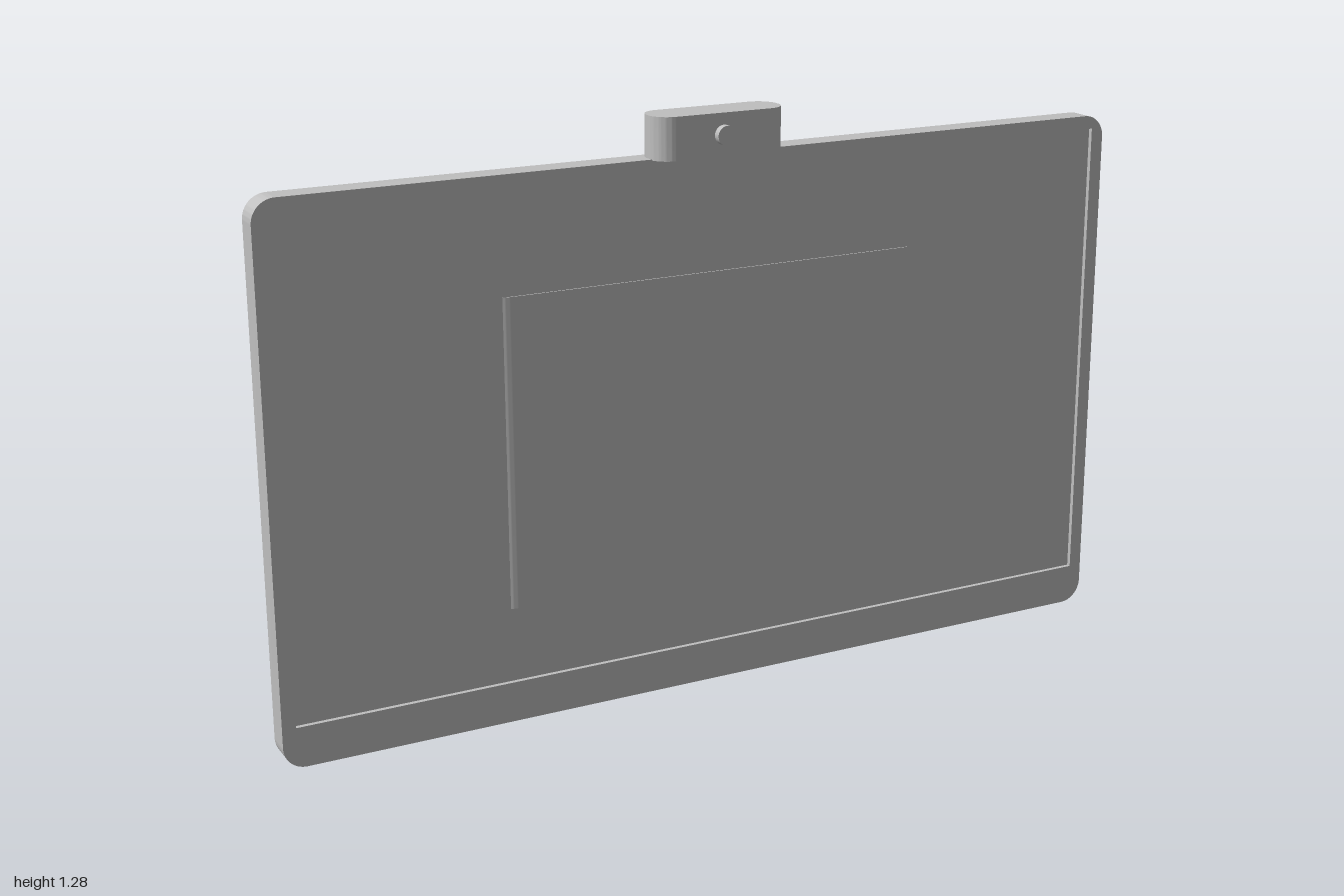
import * as THREE from 'three';
import { toCreasedNormals } from 'three/addons/utils/BufferGeometryUtils.js';

const grey = new THREE.MeshStandardMaterial({ color: 0xbfbfbf });
grey.name = 'grey';

// Rectangle outline with one radius for each corner: bl, br, tr, tl
function roundedRect(x0, y0, x1, y1, [bl, br, tr, tl]) {
  const s = new THREE.Shape();
  const P = Math.PI;
  const corner = (x, y, r, a) => (r > 0 ? s.absarc(x, y, r, a, a + P / 2, false) : s.lineTo(x, y));
  s.moveTo(x0 + bl, y0);
  s.lineTo(x1 - br, y0);
  corner(x1 - br, y0 + br, br, -P / 2);
  corner(x1 - tr, y1 - tr, tr, 0);
  corner(x0 + tl, y1 - tl, tl, P / 2);
  corner(x0 + bl, y0 + bl, bl, P);
  return s;
}

function extrude(shape, depth) {
  const g = new THREE.ExtrudeGeometry(shape, { depth, bevelEnabled: false, curveSegments: 12 });
  return toCreasedNormals(g, 0.6);
}

// Extrudes an outline drawn in the front plane from z0 to z1
const alongZ = (shape, z0, z1) => extrude(shape, z1 - z0).translate(0, 0, z0);

// Extrudes an outline drawn as (x, -z) upwards from y0 to y1
const alongY = (shape, y0, y1) => extrude(shape, y1 - y0).rotateX(-Math.PI / 2).translate(0, y0, 0);

export function createModel() {
  const model = new THREE.Group();
  const add = (name, geometry) => {
    const mesh = new THREE.Mesh(geometry, grey);
    mesh.name = name;
    model.add(mesh);
    return mesh;
  };

  // Display panel with a shallow bezel around the recessed screen
  const r = 0.05;
  const outline = () => roundedRect(-1, 0, 1, 1.19, [r, r, r, r]);
  add('panelBody', alongZ(outline(), -0.022, 0.025));
  const bezel = outline();
  bezel.holes.push(roundedRect(-0.97, 0.09, 0.97, 1.16, [0, 0, 0, 0]));
  add('bezel', alongZ(bezel, 0.025, 0.035));

  // Rear housing: two rounded ends and a middle strip with a cable hole
  const y0 = 0.255, y1 = 0.935, back = -0.078, front = 0.028, w = 0.04, c = 0.05;
  add('housingLeft', alongY(roundedRect(w, -front, 0.52, -back, [0, c, c, 0]), y0, y1));
  add('housingRight', alongY(roundedRect(-0.52, -front, -w, -back, [c, 0, 0, c]), y0, y1));
  const strip = roundedRect(-w, y0, w, y1, [0, 0, 0, 0]);
  strip.holes.push(new THREE.Path().absarc(0, 0.635, 0.028, 0, Math.PI * 2, true));
  add('housingMiddle', alongZ(strip, back, 0));
  add('housingFront', alongZ(roundedRect(-w, y0, w, y1, [0, 0, 0, 0]), 0, front));

  // Camera on the top edge
  const k = 0.043;
  add('camera', alongY(roundedRect(-0.153, -0.066, 0.153, 0.028, [k, k, k, k]), 1.188, 1.28));
  const lens = add('cameraLens', new THREE.CylinderGeometry(0.021, 0.021, 0.03, 32));
  lens.rotation.x = Math.PI / 2;
  lens.position.set(0, 1.234, 0.067);

  return model;
}
